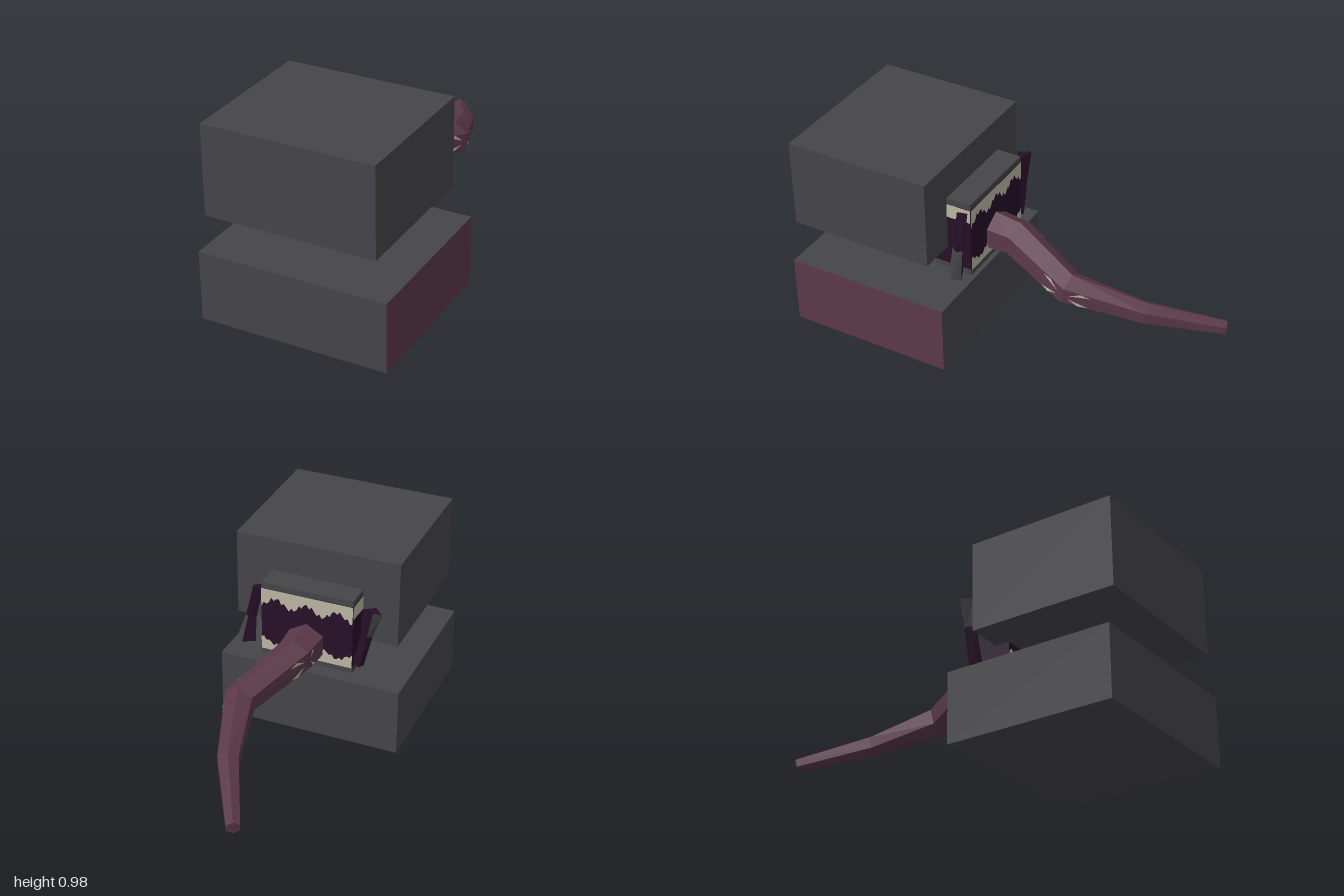
import * as THREE from 'three';

const mat = (name, color, side = THREE.FrontSide) => {
  const m = new THREE.MeshStandardMaterial({ color, side, flatShading: true });
  m.name = name;
  return m;
};

// Skins a list of rings (each counter-clockwise seen from the start); pick(seg, side) gives the material index.
function loft(rings, pick = () => 0) {
  const pos = [], geo = new THREE.BufferGeometry(), n = rings[0].length;
  const tri = (m, ...pts) => {
    geo.addGroup(pos.length / 3, pts.length, m);
    pts.forEach(p => pos.push(p.x, p.y, p.z));
  };
  for (let s = 0; s < rings.length - 1; s++) {
    for (let j = 0; j < n; j++) {
      const k = (j + 1) % n, a = rings[s][j], b = rings[s][k], c = rings[s + 1][j], d = rings[s + 1][k];
      tri(pick(s, j), a, c, b, b, c, d);
    }
  }
  const first = rings[0], last = rings[rings.length - 1];
  for (let j = 1; j < n - 1; j++) {
    tri(0, first[0], first[j], first[j + 1]);
    tri(0, last[0], last[j + 1], last[j]);
  }
  geo.setAttribute('position', new THREE.Float32BufferAttribute(pos, 3));
  geo.computeVertexNormals();
  return geo;
}

// Flat strip with a ragged upper edge, given by evenly spaced heights
function raggedStrip(width, heights) {
  const shape = new THREE.Shape();
  shape.moveTo(-width / 2, 0);
  shape.lineTo(width / 2, 0);
  const last = heights.length - 1;
  for (let i = last; i >= 0; i--) shape.lineTo((i / last - 0.5) * width, heights[i]);
  return new THREE.ShapeGeometry(shape);
}

export function createModel() {
  const model = new THREE.Group();
  model.name = 'model';
  const grey = mat('charcoal', 0x454549);
  const maroon = mat('maroon', 0x5b3848);
  const purple = mat('darkPurple', 0x260f28);
  const bone = mat('bone', 0xbab4a2, THREE.DoubleSide);

  const add = (name, geo, material, parent = model) => {
    const mesh = new THREE.Mesh(geo, material);
    mesh.name = name;
    parent.add(mesh);
    return mesh;
  };
  const box = (name, [x0, x1], [y0, y1], [z0, z1], material) => {
    const mesh = add(name, new THREE.BoxGeometry(x1 - x0, y1 - y0, z1 - z0), material);
    mesh.position.set((x0 + x1) / 2, (y0 + y1) / 2, (z0 + z1) / 2);
    return mesh;
  };

  // Large blocks; the lower one has one maroon side
  box('upperBlock', [-0.417, 0.415], [0.54, 0.98], [0.27, 1], grey);
  box('lowerBlock', [-0.465, 0.463], [0, 0.345], [0.17, 1], [maroon, grey, grey, grey, grey, grey]);

  // Body core between two grey edges
  const bx = [-0.235, 0.232], bz = [0.145, 0.34];
  box('bodyTopEdge', bx, [0.78, 0.81], bz, grey);
  box('bodyCore', bx, [0.446, 0.78], bz, purple);
  box('bodyBottomEdge', bx, [0.417, 0.446], bz, [grey, grey, grey, maroon, grey, grey]);

  // Ragged bone trim on the faces of the body
  const trim = (name, width, heights, p, turn, hanging) => {
    const mesh = add(name, raggedStrip(width, heights), bone);
    mesh.position.set(...p);
    mesh.rotation.set(0, turn, hanging ? Math.PI : 0);
  };
  const humps = [];
  for (let i = 0; i <= 56; i++) {
    const t = (i / 8 + 0.25) % 1;
    humps.push(0.022 + (0.042 + 0.01 * (Math.floor(i / 8 + 0.25) % 2)) * Math.pow(Math.sin(Math.PI * t), 1.6));
  }
  trim('frontLowerTrim', 0.467, humps, [-0.0015, 0.446, 0.343], 0, false);
  const ragged = [];
  for (let i = 0; i <= 36; i++) {
    ragged.push(0.068 + 0.022 * Math.cos(i * 0.52) + 0.012 * Math.sin(i * 2.3));
  }
  trim('backUpperTrim', 0.467, ragged, [-0.0015, 0.78, 0.142], Math.PI, true);
  trim('backLowerTrim', 0.467, ragged.map(h => h * 0.75), [-0.0015, 0.446, 0.142], Math.PI, false);
  trim('frontUpperTrim', 0.467, ragged, [-0.0015, 0.78, 0.343], 0, true);
  for (const s of [-1, 1]) {
    trim('sideUpperTrim', 0.195, [0.07, 0.066, 0.072, 0.068, 0.07], [-0.0015 + s * 0.2365, 0.78, 0.2425], s * Math.PI / 2, true);
  }

  // Flared arms; the second is the first turned half way round
  const armRings = [
    [[0.285, 0.77, 0.17], [0.27, 0.77, 0.145], [0.232, 0.76, 0.16], [0.25, 0.765, 0.205]],
    [[0.325, 0.6, 0.17], [0.305, 0.6, 0.147], [0.268, 0.6, 0.165], [0.295, 0.6, 0.205]],
    [[0.37, 0.475, 0.17], [0.335, 0.455, 0.14], [0.275, 0.46, 0.165], [0.325, 0.465, 0.21]],
  ].map(r => r.map(p => new THREE.Vector3(...p)));
  const armGeo = loft(armRings, (s, j) => (s === 1 && (j === 0 || j === 3) ? 1 : 0));
  add('leftArm', armGeo, [purple, grey]);
  const rightArm = add('rightArm', armGeo, [purple, grey]);
  rightArm.rotation.z = Math.PI;
  rightArm.position.y = 1.23;

  // Bent six-sided tail
  const path = [
    [0, 0.535, 0.15, 0.1], [0.005, 0.53, 0.02, 0.092], [0.135, 0.45, -0.315, 0.08],
    [0.035, 0.367, -0.655, 0.055], [-0.143, 0.283, -0.985, 0.036],
  ];
  const centres = path.map(p => new THREE.Vector3(p[0], p[1], p[2]));
  const up = new THREE.Vector3(0, 1, 0);
  const tailRings = centres.map((c, i) => {
    const t = new THREE.Vector3();
    if (i > 0) t.add(c.clone().sub(centres[i - 1]).normalize());
    if (i < centres.length - 1) t.add(centres[i + 1].clone().sub(c).normalize());
    t.normalize();
    const side = t.clone().cross(up).normalize(), lift = side.clone().cross(t);
    return Array.from({ length: 6 }, (_, j) => {
      const a = (j - 0.5) * Math.PI / 3;
      return c.clone().addScaledVector(side, path[i][3] * Math.cos(a)).addScaledVector(lift, path[i][3] * Math.sin(a));
    });
  });
  add('tail', loft(tailRings), [maroon]);

  // Bone slivers on the outer side of the two bends
  const sliver = (ring, lower, out) => {
    for (const next of [ring - 1, ring + 1]) {
      for (const [j, k] of [[lower, lower + 1], [lower + 1, lower]]) {
        const at = (t, v) => tailRings[ring][j].clone().lerp(tailRings[ring][k], v)
          .lerp(tailRings[next][j].clone().lerp(tailRings[next][k], v), t).add(new THREE.Vector3(out, 0, 0));
        const geo = new THREE.BufferGeometry().setFromPoints([at(0.08, 0.38), at(0.22, 0.02), at(0.34, 0.1)]);
        geo.computeVertexNormals();
        add('bendSliver', geo, bone);
      }
    }
  };
  sliver(2, 0, 0.004);
  sliver(1, 3, -0.004);

  return model;
}
